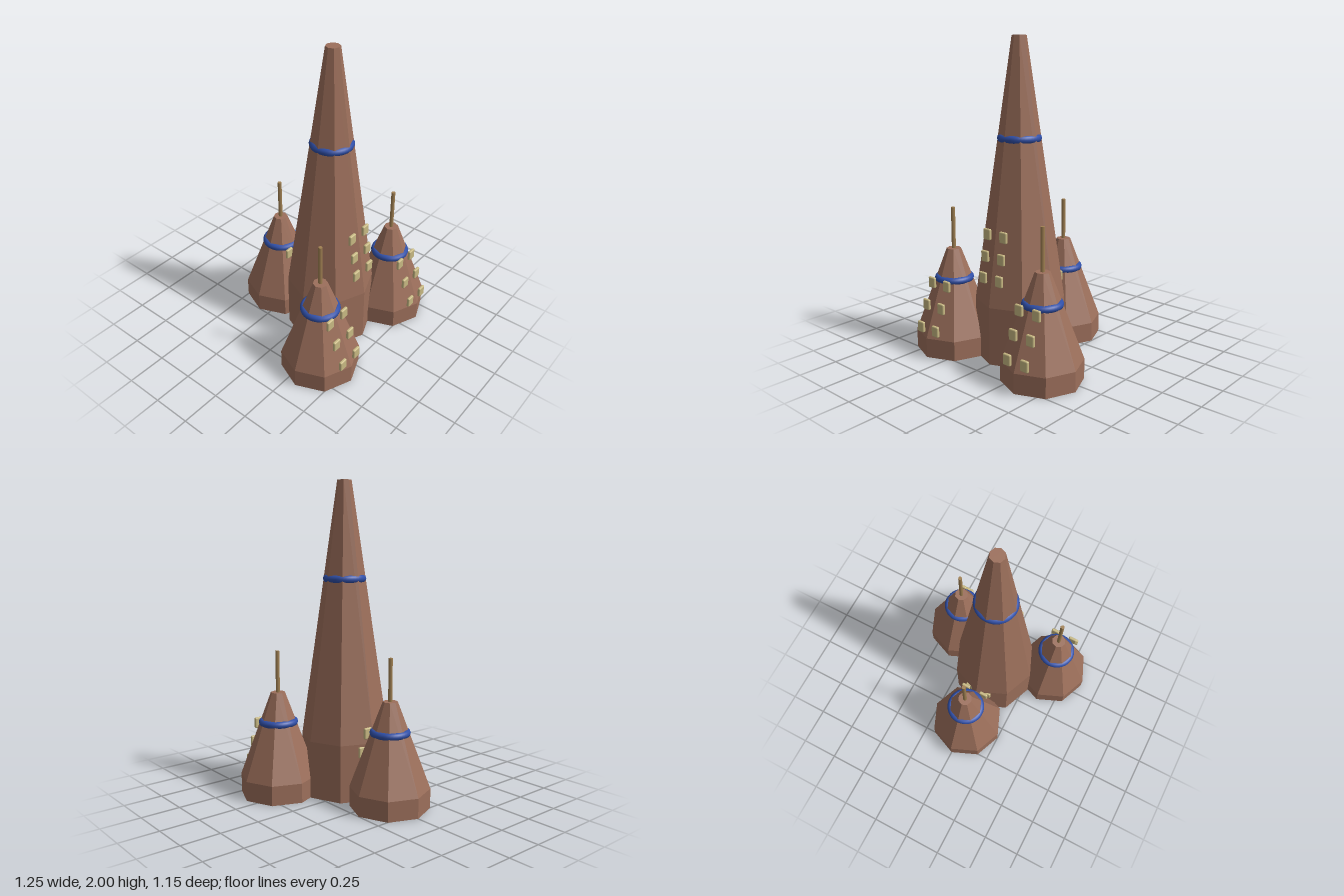
import * as THREE from 'three';
import { RoundedBoxGeometry } from 'three/addons/geometries/RoundedBoxGeometry.js';
import { toCreasedNormals } from 'three/addons/utils/BufferGeometryUtils.js';

const mat = (name, color) => {
  const m = new THREE.MeshStandardMaterial({ color });
  m.name = name;
  return m;
};

export function createModel() {
  const clay = mat('brown clay', 0x9c6f5b);
  const blue = mat('blue band', 0x2f4fa8);
  const cream = mat('cream window', 0xc8b983);
  const wood = mat('tan spire', 0xa08052);

  const add = (parent, name, geometry, material, x = 0, y = 0, z = 0) => {
    const mesh = new THREE.Mesh(geometry, material);
    mesh.name = name;
    mesh.position.set(x, y, z);
    parent.add(mesh);
    return mesh;
  };

  // Eight-sided tower: upright foot, tapered body, flat cap, band and windows
  function makeTower(name, t) {
    const g = new THREE.Group();
    g.name = name;
    const profile = [[0, 0], [t.radius, 0], [t.radius, t.foot], [t.top, t.height], [0, t.height]]
      .map(([r, y]) => new THREE.Vector2(r, y));
    add(g, 'towerBody', toCreasedNormals(new THREE.LatheGeometry(profile, 8), 0.1), clay);

    const band = new THREE.TorusGeometry(t.bandRadius, t.bandTube, 10, 40);
    add(g, 'band', band.rotateX(Math.PI / 2), blue, 0, t.bandY, 0);

    // Three rows of paired windows following the front slope
    const pane = new RoundedBoxGeometry(0.057, 0.07, 0.021, 2, 0.008);
    for (const [y, z] of t.windows) {
      for (const side of [-1, 1]) add(g, 'window', pane, cream, side * 0.067, y, z);
    }
    return g;
  }

  const model = new THREE.Group();
  model.name = 'towers';

  const main = makeTower('mainTower', {
    radius: 0.282, foot: 0.37, top: 0.045, height: 2,
    bandRadius: 0.111, bandTube: 0.027, bandY: 1.388,
    windows: [[0.547, 0.261], [0.679, 0.241], [0.813, 0.22]],
  });
  main.position.z = 0.107;
  model.add(main);

  // Three small towers, each with a thin spire
  const spots = [['leftTower', 0.375, 0.324], ['rightTower', -0.375, 0.324], ['backTower', 0, -0.326]];
  for (const [name, x, z] of spots) {
    const tower = makeTower(name, {
      radius: 0.25, foot: 0.125, top: 0.046, height: 0.668,
      bandRadius: 0.102, bandTube: 0.024, bandY: 0.475,
      windows: [[0.184, 0.232], [0.319, 0.181], [0.453, 0.13]],
    });
    add(tower, 'spire', new THREE.CylinderGeometry(0.013, 0.013, 0.27, 8), wood, 0, 0.8, 0);
    tower.position.set(x, 0, z);
    model.add(tower);
  }
  return model;
}
